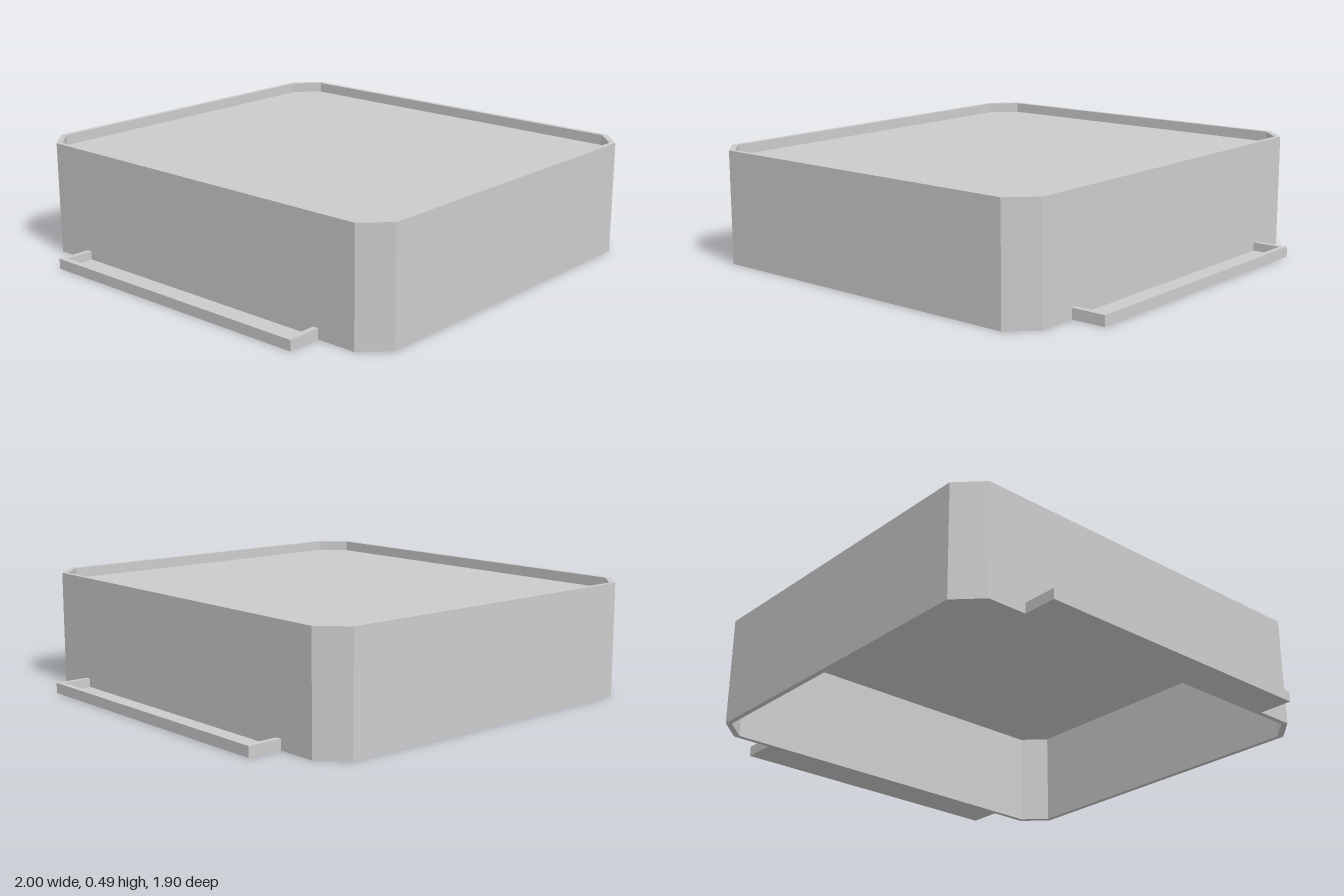
import * as THREE from 'three';

const material = new THREE.MeshStandardMaterial({ color: 0xcccccc, flatShading: true });

// Rectangle with cut corners, given half sizes and the corner cut
function octagon(hx, hz, cut, Type = THREE.Shape) {
  const points = [
    [hx, -hz + cut], [hx, hz - cut], [hx - cut, hz], [-hx + cut, hz],
    [-hx, hz - cut], [-hx, -hz + cut], [-hx + cut, -hz], [hx - cut, -hz],
  ];
  return new Type(points.map(([x, z]) => new THREE.Vector2(x, z)));
}

// Upright extrusion of a plan shape, standing at height y
function slab(name, shape, y, height) {
  const geometry = new THREE.ExtrudeGeometry(shape, { depth: height, bevelEnabled: false });
  geometry.rotateX(-Math.PI / 2);
  const mesh = new THREE.Mesh(geometry, material);
  mesh.name = name;
  mesh.position.y = y;
  return mesh;
}

function box(name, w, h, d, x, y, z) {
  const mesh = new THREE.Mesh(new THREE.BoxGeometry(w, h, d), material);
  mesh.name = name;
  mesh.position.set(x, y, z);
  return mesh;
}

// Shallow side tray, open at the top and closed inwards by the housing wall
function sideTray(name, side) {
  const tray = new THREE.Group();
  tray.name = name;
  const inner = 0.85, outer = 1, hz = 0.67, h = 0.045, t = 0.025, floor = 0.008;
  const width = outer - inner, mid = side * (inner + outer) / 2;
  tray.add(box('trayFloor', width, floor, 2 * hz, mid, floor / 2, 0));
  const wallH = h - floor, wallY = floor + wallH / 2;
  tray.add(box('trayOuterWall', t, wallH, 2 * hz, side * (outer - t / 2), wallY, 0));
  for (const end of [-1, 1]) {
    tray.add(box('trayEndWall', width - t, wallH, t, side * (inner + (width - t) / 2), wallY, end * (hz - t / 2)));
  }
  return tray;
}

export function createModel() {
  const model = new THREE.Group();
  model.name = 'trayHousing';

  // Outer wall ring, open at top and bottom
  const ring = octagon(0.85, 0.95, 0.105);
  ring.holes.push(octagon(0.828, 0.928, 0.096, THREE.Path));
  model.add(slab('housingWall', ring, 0, 0.49));

  // Thin deck set slightly below the rim
  model.add(slab('deck', octagon(0.828, 0.928, 0.096), 0.438, 0.007));

  model.add(sideTray('leftTray', 1), sideTray('rightTray', -1));
  return model;
}
